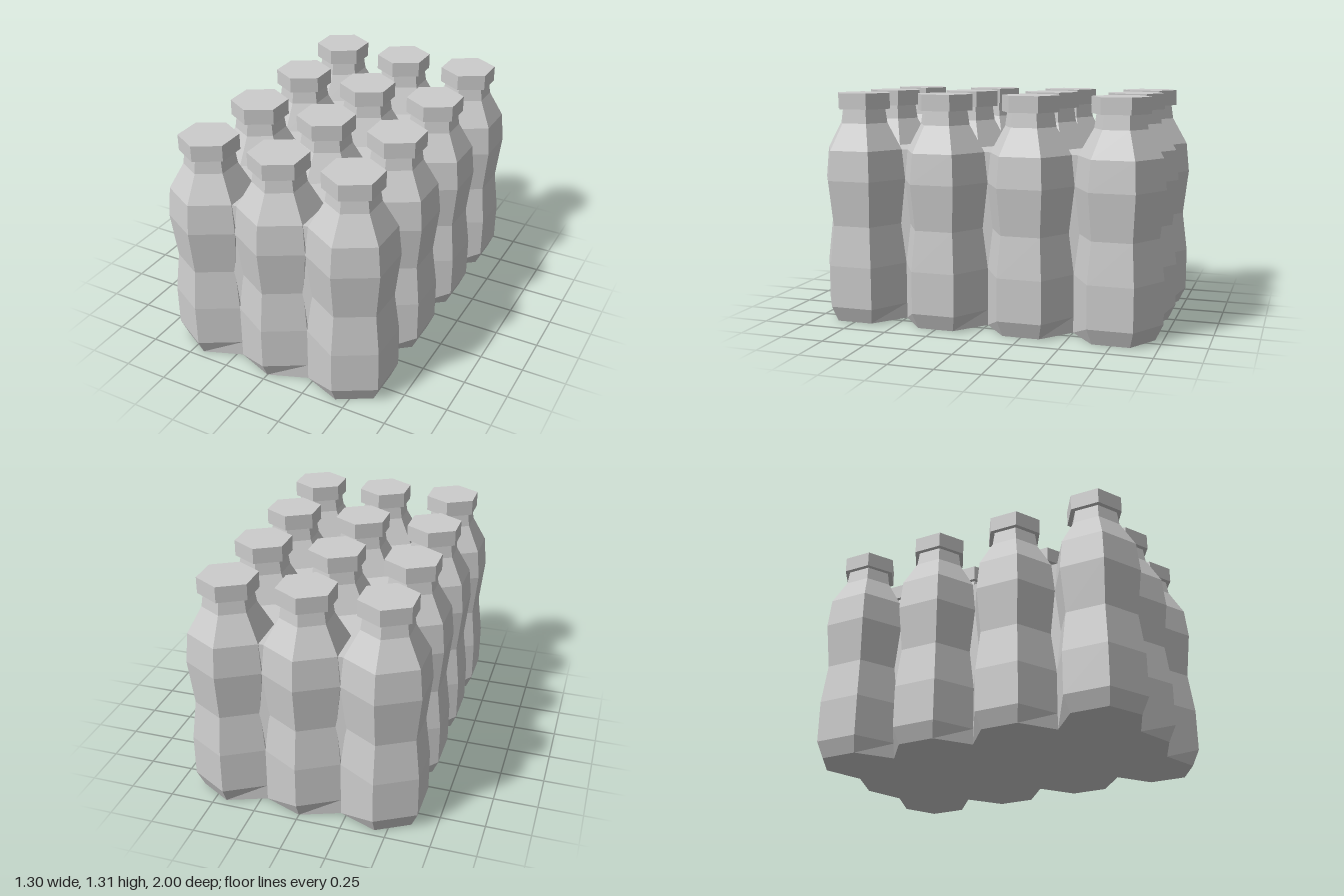
import * as THREE from 'three';

const R = 0.25;                          // corner radius of a bottle
const APOTHEM = R * Math.sqrt(3) / 2;
const PITCH_X = APOTHEM * 2, PITCH_Z = R * 2;

// [height, corner radius] from base to neck
const PROFILE = [
  [0, 0.208], [0.09, R], [0.33, R], [0.56, 0.22], [0.82, R],
  [0.99, 0.232], [1.14, 0.146], [1.225, 0.133],
];

// Six-sided bottle; the base is tucked in only at corners no neighbour shares
function bottleGeometry(cx, cz) {
  const pos = [], idx = [];
  PROFILE.forEach(([y, r], row) => {
    for (let i = 0; i < 6; i++) {
      const a = i * Math.PI / 3, s = Math.sin(a), c = Math.cos(a);
      const free = Math.abs(cx + R * s) > 0.6 || Math.abs(cz + R * c) > 0.95;
      const rad = row === 0 && !free ? R : r;
      pos.push(rad * s, y, rad * c);
    }
  });
  for (let row = 0; row < PROFILE.length - 1; row++) {
    for (let i = 0; i < 6; i++) {
      const a = row * 6 + i, b = row * 6 + (i + 1) % 6;
      idx.push(a, b, b + 6, a, b + 6, a + 6);
    }
  }
  // base
  for (let i = 1; i < 5; i++) idx.push(0, i + 1, i);
  const geo = new THREE.BufferGeometry();
  geo.setAttribute('position', new THREE.Float32BufferAttribute(pos, 3));
  geo.setIndex(idx);
  const flat = geo.toNonIndexed();
  flat.computeVertexNormals();
  return flat;
}

export function createModel() {
  const group = new THREE.Group();
  group.name = 'bottlePack';
  const mat = new THREE.MeshStandardMaterial({ color: 0xcccccc, flatShading: true });

  const add = (parent, name, geo, x, y, z) => {
    const mesh = new THREE.Mesh(geo, mat);
    mesh.name = name;
    mesh.position.set(x, y, z);
    parent.add(mesh);
  };

  // Twelve capped bottles, three across and four deep
  const capGeo = new THREE.CylinderGeometry(0.163, 0.163, 0.09, 6);
  for (let col = -1; col <= 1; col++) {
    for (let row = -1.5; row <= 1.5; row++) {
      const x = col * PITCH_X, z = row * PITCH_Z;
      const bottle = new THREE.Group();
      bottle.name = 'bottle';
      bottle.position.set(x, 0, z);
      add(bottle, 'bottleBody', bottleGeometry(x, z), 0, 0, 0);
      add(bottle, 'cap', capGeo, 0, 1.265, 0);
      group.add(bottle);
    }
  }

  // Solid filling the gaps between bottles up to the shoulders
  add(group, 'filler', new THREE.BoxGeometry(PITCH_X * 2, 0.99, 1.726), 0, 0.495, 0);
  return group;
}
